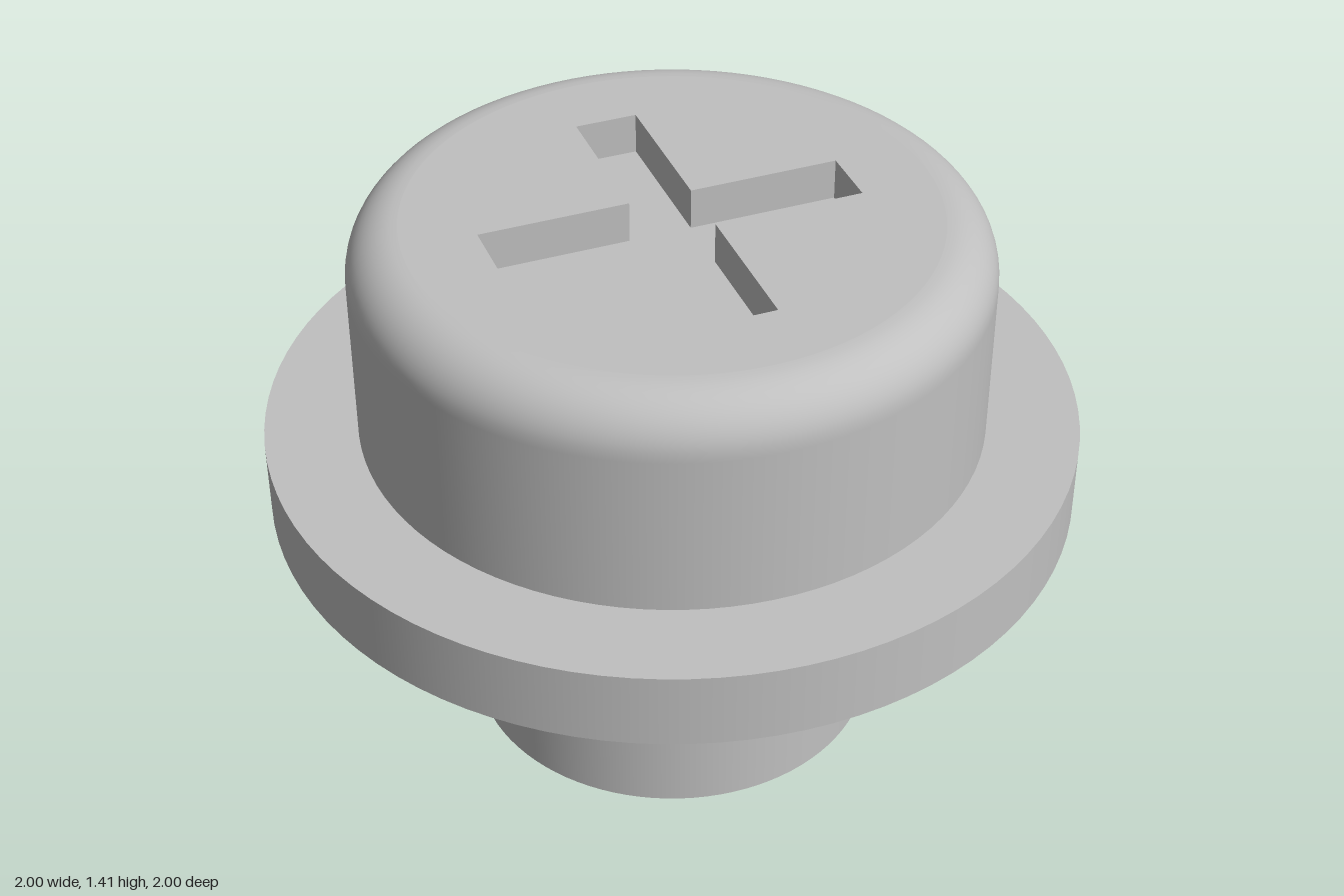
import * as THREE from 'three';

const SEGMENTS = 96;
const SHANK_R = 0.515, WASHER_R = 1, HEAD_R = 0.772, FILLET = 0.13;
const WASHER_Y = 0.66, HEAD_Y = 0.855, TOP_Y = 1.41;
const ARM = 0.453, HALF = 0.078, DEPTH = 0.105;

export function createModel() {
  const steel = new THREE.MeshStandardMaterial({ color: 0xc0c0c0 });
  steel.name = 'steel grey';
  const group = new THREE.Group();
  group.name = 'screw';

  const add = (name, geometry, parent = group) => {
    const mesh = new THREE.Mesh(geometry, steel);
    mesh.name = name;
    parent.add(mesh);
    return mesh;
  };
  // Each smooth run of the profile is its own surface, so corners stay sharp
  const revolve = (name, points) => add(name,
    new THREE.LatheGeometry(points.map(([r, y]) => new THREE.Vector2(r, y)), SEGMENTS));

  // Shank and washer
  revolve('shankEnd', [[0, 0], [SHANK_R, 0]]);
  revolve('shank', [[SHANK_R, 0], [SHANK_R, WASHER_Y]]);
  revolve('washerUnderside', [[SHANK_R, WASHER_Y], [WASHER_R, WASHER_Y]]);
  revolve('washerRim', [[WASHER_R, WASHER_Y], [WASHER_R, HEAD_Y]]);
  revolve('washerTop', [[WASHER_R, HEAD_Y], [HEAD_R, HEAD_Y]]);

  // Head wall with rounded shoulder
  const wall = [[HEAD_R, HEAD_Y], [HEAD_R, TOP_Y - FILLET - 0.01]];
  for (let i = 0; i <= 12; i++) {
    const a = (i / 12) * Math.PI / 2;
    wall.push([HEAD_R - FILLET + FILLET * Math.cos(a), TOP_Y - FILLET + FILLET * Math.sin(a)]);
  }
  revolve('headWall', wall);

  // Cross outline, counterclockwise: three corners per arm, turned four times
  const cross = [];
  for (let i = 0; i < 4; i++) {
    for (const [x, y] of [[ARM, -HALF], [ARM, HALF], [HALF, HALF]]) {
      cross.push(new THREE.Vector2(x, y).rotateAround(new THREE.Vector2(), i * Math.PI / 2));
    }
  }

  // Flat head top, pierced by the cross
  const disc = new THREE.Shape().absarc(0, 0, HEAD_R - FILLET, 0, Math.PI * 2);
  disc.holes.push(new THREE.Path(cross));
  add('headTop', new THREE.ShapeGeometry(disc, SEGMENTS / 2).rotateX(-Math.PI / 2).translate(0, TOP_Y, 0));

  // Recess floor and inward-facing walls
  const recess = new THREE.Group();
  recess.name = 'crossRecess';
  group.add(recess);
  add('recessFloor', new THREE.ShapeGeometry(new THREE.Shape(cross))
    .rotateX(-Math.PI / 2).translate(0, TOP_Y - DEPTH, 0), recess);
  const positions = [];
  cross.forEach((p, i) => {
    const q = cross[(i + 1) % cross.length];
    const a = [p.x, TOP_Y, -p.y], b = [q.x, TOP_Y, -q.y];
    const c = [q.x, TOP_Y - DEPTH, -q.y], d = [p.x, TOP_Y - DEPTH, -p.y];
    positions.push(...a, ...b, ...c, ...a, ...c, ...d);
  });
  const walls = new THREE.BufferGeometry();
  walls.setAttribute('position', new THREE.Float32BufferAttribute(positions, 3));
  walls.computeVertexNormals();
  add('recessWalls', walls, recess);

  return group;
}
